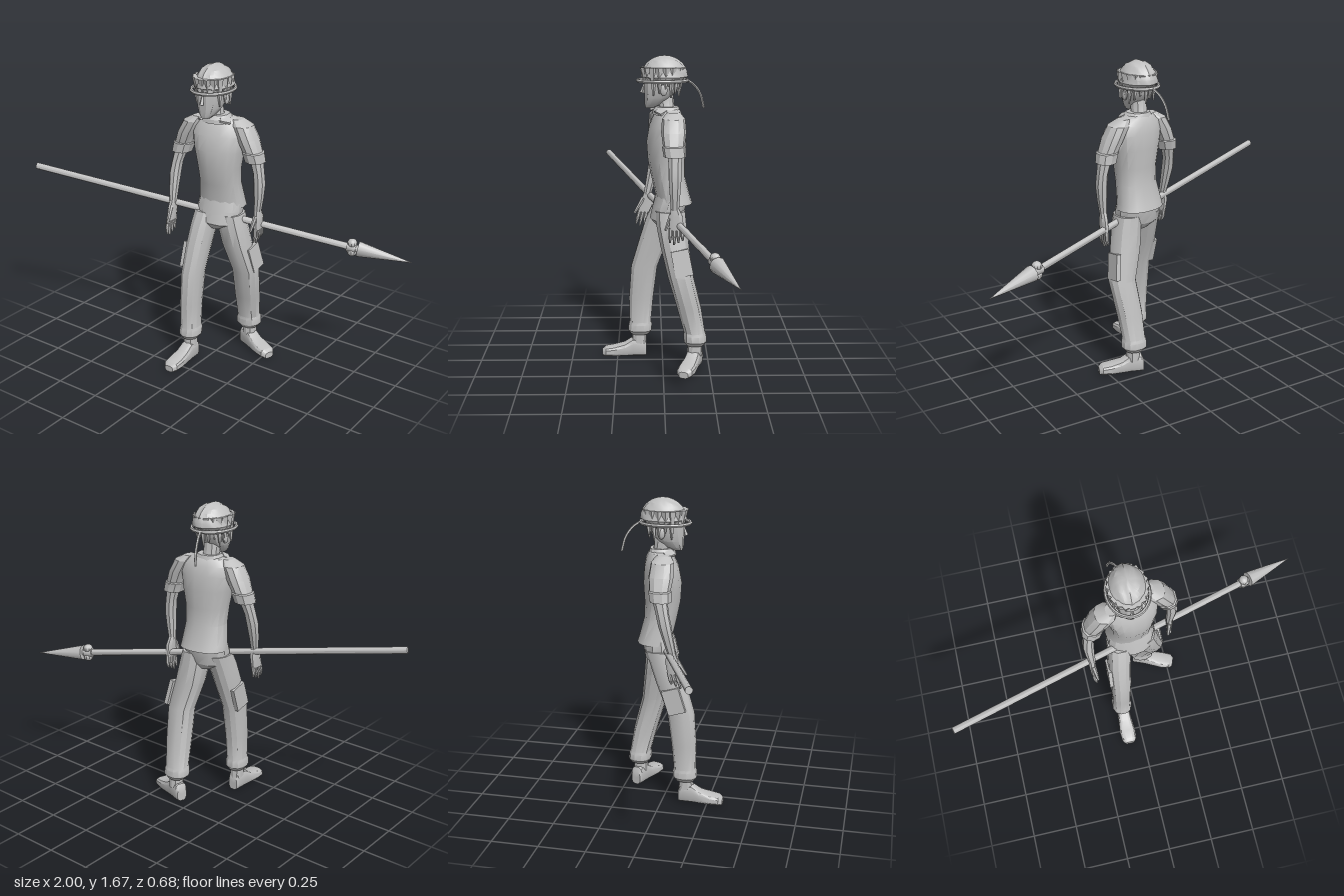
import * as THREE from 'three';
import { toCreasedNormals } from 'three/addons/utils/BufferGeometryUtils.js';

const grey = new THREE.MeshStandardMaterial({ color: 0xc0c0c0 });
grey.name = 'plain grey';

const V = (a) => new THREE.Vector3(...a);

function mesh(name, geometry, crease = 0.5) {
  const m = new THREE.Mesh(toCreasedNormals(geometry, crease), grey);
  m.name = name;
  return m;
}

// Closed skin over stacked rings [x, y, z, radiusX, radiusZ, yaw]
function loft(rings, n = 12, power = 2.3) {
  if (rings[0][1] > rings[rings.length - 1][1]) rings = [...rings].reverse();
  const pos = [], idx = [];
  const soft = (v) => Math.sign(v) * Math.abs(v) ** (2 / power);
  for (const [cx, cy, cz, rx, rz, yaw = 0] of rings) {
    for (let i = 0; i < n; i++) {
      const t = ((i + 0.5) / n) * Math.PI * 2;
      const x = rx * soft(Math.cos(t)), z = rz * soft(Math.sin(t));
      pos.push(cx + x * Math.cos(yaw) + z * Math.sin(yaw), cy, cz - x * Math.sin(yaw) + z * Math.cos(yaw));
    }
  }
  const last = (rings.length - 1) * n, base = rings.length * n;
  pos.push(...rings[0].slice(0, 3), ...rings[rings.length - 1].slice(0, 3));
  for (let i = 0; i < n; i++) {
    const j = (i + 1) % n;
    for (let r = 0; r < last; r += n) idx.push(r + i, r + n + i, r + j, r + j, r + n + i, r + n + j);
    idx.push(base, i, j, base + 1, last + j, last + i);
  }
  const g = new THREE.BufferGeometry();
  g.setAttribute('position', new THREE.Float32BufferAttribute(pos, 3));
  g.setIndex(idx);
  return g;
}

// Tapered rod from a to b
function rod(name, a, b, ra, rb, sides = 6) {
  const p = V(a), q = V(b), d = q.clone().sub(p);
  const m = mesh(name, new THREE.CylinderGeometry(rb, ra, d.length(), sides), 0.9);
  m.position.copy(p.add(q).multiplyScalar(0.5));
  m.quaternion.setFromUnitVectors(new THREE.Vector3(0, 1, 0), d.normalize());
  return m;
}

function ball(name, at, scale) {
  const m = mesh(name, new THREE.SphereGeometry(1, 10, 8));
  m.position.set(...at);
  m.scale.set(...scale);
  return m;
}

// Sleeve, forearm and hand; zAt gives the swing of the arm by height
function arm(side, zAt) {
  const g = new THREE.Group();
  g.name = side > 0 ? 'leftArm' : 'rightArm';
  const r = (x, y, rx, rz) => [side * x, y, zAt(y), rx, rz];
  g.add(mesh('sleeve', loft([r(0.1, 1.385, 0.03, 0.035), r(0.13, 1.355, 0.055, 0.06), r(0.165, 1.29, 0.055, 0.065),
    r(0.193, 1.225, 0.05, 0.056), r(0.196, 1.22, 0.057, 0.061), r(0.208, 1.17, 0.053, 0.057)], 10)));
  g.add(mesh('forearm', loft([r(0.21, 1.2, 0.036, 0.04), r(0.23, 1.11, 0.028, 0.034), r(0.235, 1.05, 0.03, 0.034),
    r(0.232, 0.97, 0.025, 0.028), r(0.226, 0.89, 0.018, 0.022)], 8)));
  const z = (y) => zAt(y) - 0.008;
  g.add(mesh('palm', loft([r(0.226, 0.905, 0.018, 0.022), [side * 0.229, 0.86, z(0.86), 0.019, 0.036],
    [side * 0.228, 0.79, z(0.79), 0.015, 0.04]], 8)));
  for (let i = 0; i < 4; i++) {
    const o = 0.03 - i * 0.02, end = 0.71 + Math.abs(i - 1) * 0.011;
    const mid = [side * 0.228, 0.755, z(0.755) + o * 1.05];
    g.add(rod('finger', [side * 0.228, 0.8, z(0.8) + o], mid, 0.011, 0.01));
    g.add(rod('fingerTip', mid, [side * 0.22, end, z(end) + o * 1.1], 0.01, 0.005));
  }
  g.add(rod('thumb', [side * 0.225, 0.87, z(0.87) + 0.025], [side * 0.212, 0.785, z(0.785) + 0.056], 0.014, 0.007));
  return g;
}

// Trouser leg with gathered cuff, cargo pocket, ankle and shoe
function leg(name, rings, pocket, ankle, heel, yaw) {
  const g = new THREE.Group();
  g.name = name;
  g.add(mesh('trouserLeg', loft(rings)));
  const p = mesh('pocket', new THREE.BoxGeometry(0.025, 0.14, 0.095));
  p.position.set(...pocket.slice(0, 3));
  p.rotation.set(pocket[3], 0, pocket[4]);
  g.add(p);
  g.add(mesh('ankle', loft([[ankle[0], 0.07, ankle[1], 0.036, 0.042], [ankle[0], 0.17, ankle[1], 0.034, 0.037]], 10)));
  const s = (len, h, w) => [0, len, -h / 2, w, h / 2];
  const shoe = mesh('shoe', loft([s(0, 0.075, 0.028), s(0.012, 0.1, 0.035), s(0.075, 0.105, 0.038), s(0.12, 0.075, 0.041),
    s(0.18, 0.058, 0.047), s(0.225, 0.05, 0.043), s(0.245, 0.035, 0.026)], 12, 3.2).rotateX(Math.PI / 2));
  shoe.position.set(heel[0], 0, heel[1]);
  shoe.rotation.y = yaw;
  g.add(shoe);
  return g;
}

function makeHead() {
  const g = new THREE.Group();
  g.name = 'head';
  const X = -0.015;
  g.add(mesh('neck', loft([[0, 1.35, -0.03, 0.055, 0.05], [X, 1.41, -0.02, 0.042, 0.042], [X, 1.48, -0.01, 0.042, 0.045]], 10)));
  g.add(mesh('face', loft([[X, 1.397, 0.068, 0.02, 0.022], [X, 1.415, 0.052, 0.04, 0.043], [X, 1.45, 0.027, 0.06, 0.07],
    [X, 1.5, 0.008, 0.073, 0.092], [X, 1.56, 0.0, 0.078, 0.1], [X, 1.61, -0.005, 0.075, 0.095]])));
  g.add(rod('nose', [X, 1.525, 0.095], [X, 1.475, 0.108], 0.004, 0.012, 4));
  for (const s of [-1, 1]) g.add(ball('ear', [X + s * 0.077, 1.495, -0.005], [0.012, 0.03, 0.02]));

  // Hair cap with combed ridges running front to back
  const cap = new THREE.SphereGeometry(1, 28, 14);
  const p = cap.attributes.position;
  for (let i = 0; i < p.count; i++) {
    const v = new THREE.Vector3().fromBufferAttribute(p, i);
    const k = 1 + 0.025 * Math.cos(Math.atan2(v.x, Math.abs(v.y) + 0.2) * 14);
    const low = v.y < 0 ? 0.75 : 1;
    p.setXYZ(i, X + v.x * 0.096 * k, 1.56 + v.y * (v.y < 0 ? 0.07 : 0.108 * k), -0.01 + v.z * 0.12 * k * (v.z > 0 && v.y < 0 ? 0.7 : low + 0.1 * (1 - low)));
  }
  g.add(mesh('hair', cap));

  // Hanging locks around the head, longest at the sides
  for (let i = 0; i < 18; i++) {
    const a = (i / 18) * Math.PI * 2, sx = Math.sin(a), cz = Math.cos(a);
    const front = cz > 0.75, tip = front ? 1.535 : 1.455 + 0.02 * (i % 3) + 0.02 * Math.max(0, cz);
    g.add(rod('lock', [X + sx * 0.08, 1.61, cz * 0.1], [X + sx * 0.085, tip, cz * (cz > 0 ? 0.098 : 0.085)], 0.024, 0.004, 5));
  }

  // Headband and its trailing tie
  const band = mesh('headband', new THREE.TorusGeometry(1, 0.075, 6, 28).rotateX(Math.PI / 2), 1);
  band.scale.set(0.106, 0.13, 0.13);
  band.position.set(X, 1.54, 0);
  g.add(band);
  const curve = new THREE.CatmullRomCurve3([[-0.03, 1.54, -0.13], [-0.045, 1.515, -0.165], [-0.06, 1.465, -0.2], [-0.07, 1.39, -0.22]].map(V));
  g.add(mesh('headbandTie', new THREE.TubeGeometry(curve, 10, 0.007, 5), 1));
  return g;
}

function makeSpear() {
  const g = new THREE.Group();
  g.name = 'spear';
  const butt = [-0.995, 1.003, 0.322], tip = [1, 0.697, -0.338];
  const at = (t) => butt.map((v, i) => v + (tip[i] - v) * t);
  g.add(rod('shaft', butt, at(0.88), 0.018, 0.018, 12));
  g.add(rod('spearhead', at(0.865), tip, 0.042, 0.001, 10));
  g.add(rod('collar', at(0.837), at(0.86), 0.026, 0.026, 10));
  const k = at(0.85);
  for (const s of [-1, 1]) g.add(ball('knob', [k[0], k[1] + s * 0.024, k[2]], [0.027, 0.025, 0.027]));
  return g;
}

export function createModel() {
  const model = new THREE.Group();
  model.name = 'spearman';

  // Shirt, turned a little toward the right at the shoulders
  model.add(mesh('shirt', loft([
    [0.005, 0.895, -0.06, 0.132, 0.095, 0.15], [0.005, 0.925, -0.055, 0.128, 0.09, 0.15],
    [0.01, 1.03, -0.03, 0.113, 0.088, 0.17], [0.01, 1.12, -0.02, 0.117, 0.096, 0.2],
    [0.008, 1.22, -0.02, 0.135, 0.102, 0.22], [0.005, 1.3, -0.025, 0.145, 0.092, 0.24],
    [0.002, 1.35, -0.03, 0.13, 0.076, 0.24], [0, 1.385, -0.03, 0.095, 0.06, 0.24], [0, 1.395, -0.03, 0.06, 0.05, 0.2]], 16)));
  model.add(mesh('collar', loft([[0, 1.365, -0.02, 0.088, 0.074, 0.15], [0, 1.385, -0.02, 0.08, 0.07, 0.15],
    [-0.005, 1.405, -0.025, 0.062, 0.058, 0.15]], 12)));
  for (const s of [-1, 1]) { // collar flaps
    const flap = mesh('collarFlap', new THREE.BoxGeometry(0.055, 0.012, 0.04));
    flap.position.set(s * 0.065, 1.385, 0.022 - s * 0.012);
    flap.rotation.set(0.5, s * 0.5, -s * 0.5);
    model.add(flap);
  }

  model.add(mesh('hips', loft([[0.005, 0.775, -0.02, 0.05, 0.06], [0.005, 0.81, -0.02, 0.115, 0.088],
    [0.005, 0.88, -0.035, 0.13, 0.088, 0.1], [0.005, 0.94, -0.045, 0.12, 0.08, 0.15]], 14)));

  model.add(leg('rightLeg', [
    [-0.06, 0.86, -0.02, 0.068, 0.08], [-0.066, 0.79, 0.01, 0.066, 0.082], [-0.075, 0.68, 0.046, 0.063, 0.08],
    [-0.08, 0.52, 0.1, 0.058, 0.073], [-0.083, 0.34, 0.118, 0.054, 0.068], [-0.083, 0.2, 0.123, 0.052, 0.06],
    [-0.083, 0.185, 0.123, 0.057, 0.066], [-0.083, 0.15, 0.125, 0.058, 0.066], [-0.083, 0.128, 0.125, 0.042, 0.05]],
  [-0.135, 0.6, 0.07, -0.3, 0], [-0.08, 0.13], [-0.08, 0.09], 0));
  model.add(leg('leftLeg', [
    [0.07, 0.86, -0.04, 0.07, 0.08], [0.08, 0.79, -0.045, 0.078, 0.082], [0.097, 0.68, -0.062, 0.08, 0.078],
    [0.135, 0.52, -0.093, 0.073, 0.07], [0.118, 0.34, -0.14, 0.069, 0.066], [0.108, 0.2, -0.17, 0.062, 0.058],
    [0.108, 0.185, -0.172, 0.068, 0.063], [0.108, 0.15, -0.174, 0.069, 0.063], [0.11, 0.128, -0.174, 0.05, 0.048]],
  [0.185, 0.6, -0.1, 0.2, 0.15], [0.115, -0.172], [0.06, -0.19], 1.22));

  model.add(arm(1, (y) => (y > 1.2 ? -0.055 : -0.06)));
  model.add(arm(-1, (y) => 0.01 + Math.max(0, 1.2 - y) * 0.23));
  model.add(makeHead());
  model.add(makeSpear());
  return model;
}
